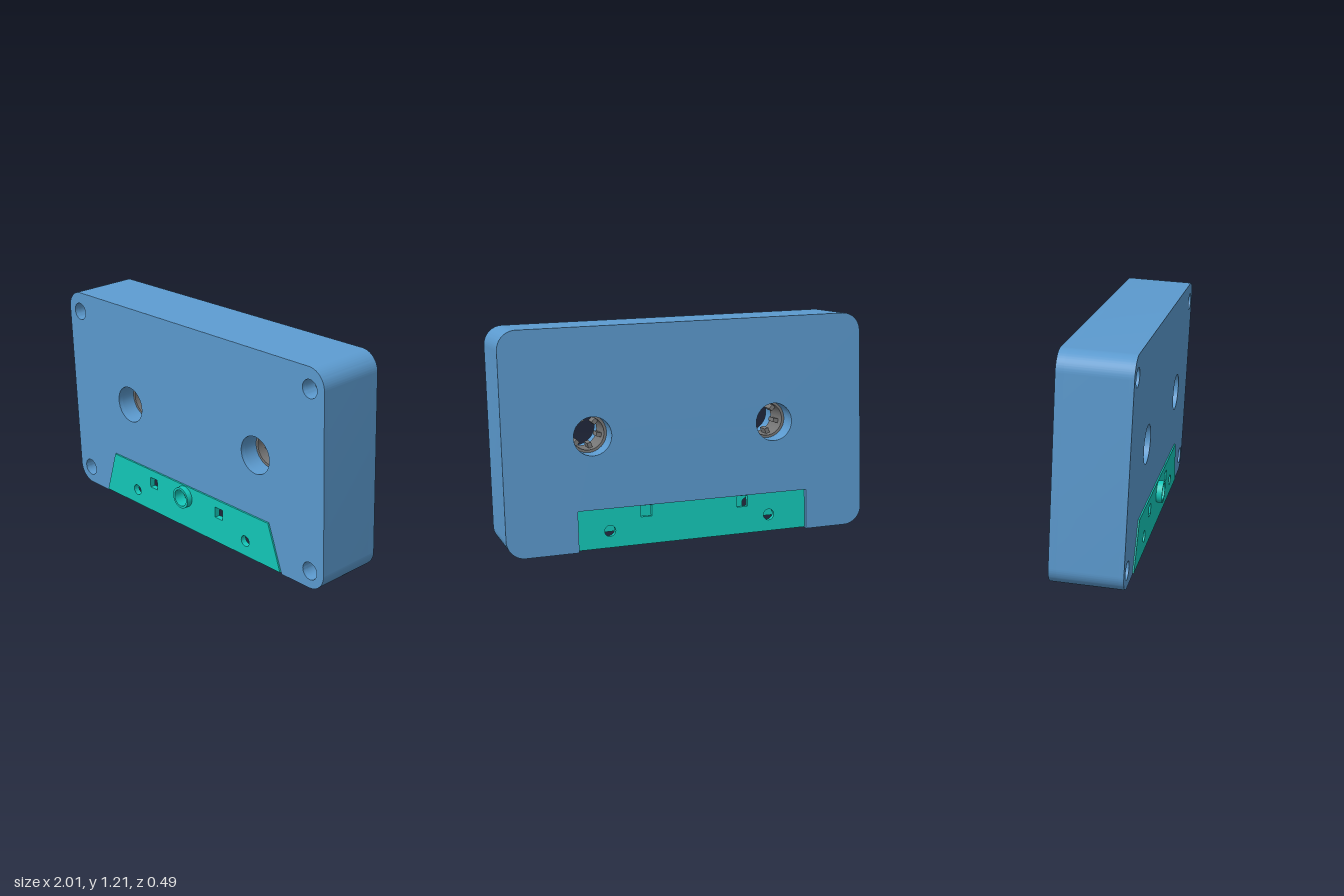
import * as THREE from 'three';
import { toCreasedNormals } from 'three/addons/utils/BufferGeometryUtils.js';

const mat = (color) => new THREE.MeshStandardMaterial({ color, side: THREE.DoubleSide });

// Main sizes
const W = 1.988, H = 1.172, D = 0.37, R = 0.1;
const REELS = [[-0.485, 0.02], [0.52, 0.02]];
const SCREWS = [[-0.9, 0.475], [0.9, 0.475], [-0.9, -0.49], [0.9, -0.49]];
const BOSS = [-0.035, -0.391];

const circle = (x, y, r) => new THREE.Path().absarc(x, y, r, 0, Math.PI * 2, true);
const polygon = (pts, Type = THREE.Shape) => new Type(pts.map(([x, y]) => new THREE.Vector2(x, y)));
const square = (x, y, s) => polygon([[x - s, y - s], [x - s, y + s], [x + s, y + s], [x + s, y - s]], THREE.Path);

// Extrude a shape between two depths
function slab(shape, z0, z1) {
  const g = new THREE.ExtrudeGeometry(shape, { depth: z1 - z0, bevelEnabled: false, curveSegments: 16 });
  g.translate(0, 0, z0);
  return toCreasedNormals(g, 0.6);
}

// Rounded outline with a notch in the bottom edge
function bodyShape(l0, l1, top, r1, r0) {
  const x = W / 2, y = H / 2, s = new THREE.Shape();
  s.moveTo(r0, -y);
  s.lineTo(x - R, -y);
  s.absarc(x - R, -y + R, R, -Math.PI / 2, 0, false);
  s.absarc(x - R, y - R, R, 0, Math.PI / 2, false);
  s.absarc(-x + R, y - R, R, Math.PI / 2, Math.PI, false);
  s.absarc(-x + R, -y + R, R, Math.PI, Math.PI * 1.5, false);
  s.lineTo(l0, -y);
  s.lineTo(l1, top);
  s.lineTo(r1, top);
  s.lineTo(r0, -y);
  REELS.forEach(([a, b]) => s.holes.push(circle(a, b, 0.102)));
  return s;
}

// Holes shared by the front and back plates
function plateHoles(shape) {
  [-0.3, 0.24].forEach((x) => shape.holes.push(square(x, -0.402, 0.03)));
  [-0.452, 0.441].forEach((x) => shape.holes.push(circle(x, -0.49, 0.03)));
  return shape;
}

// Cross-recessed screw head, facing +z
function makeScrew(name, material) {
  const g = new THREE.Group();
  g.name = name;
  const a = 0.01, b = 0.032;
  const head = new THREE.Shape().absarc(0, 0, 0.046, 0, Math.PI * 2, false);
  head.holes.push(polygon([[a, a], [a, b], [-a, b], [-a, a], [-b, a], [-b, -a],
    [-a, -a], [-a, -b], [a, -b], [a, -a], [b, -a], [b, a]], THREE.Path));
  const top = new THREE.Mesh(slab(head, -0.025, 0), material);
  top.name = 'screwHead';
  const shank = new THREE.Mesh(new THREE.CylinderGeometry(0.045, 0.045, 0.03, 24), material);
  shank.rotation.x = Math.PI / 2;
  shank.position.z = -0.04;
  shank.name = 'screwBase';
  g.add(top, shank);
  return g;
}

// Toothed reel hub
function makeReel(material) {
  const g = new THREE.Group();
  g.name = 'reelHub';
  const ring = new THREE.Shape().absarc(0, 0, 0.104, 0, Math.PI * 2, false);
  ring.holes.push(circle(0, 0, 0.088));
  const rim = new THREE.Mesh(slab(ring, -0.08, 0.08), material);
  rim.name = 'hubRing';
  g.add(rim);
  for (let i = 0; i < 6; i++) {
    const t = (i / 6) * Math.PI * 2 + 0.25;
    const tooth = new THREE.Mesh(new THREE.BoxGeometry(0.032, 0.022, 0.07), material);
    tooth.position.set(Math.cos(t) * 0.076, Math.sin(t) * 0.076, 0);
    tooth.rotation.z = t;
    tooth.name = 'hubTooth';
    g.add(tooth);
  }
  return g;
}

export function createModel() {
  const blue = mat(0x5c9bd0), teal = mat(0x14cabb), grey = mat(0x777777);
  const model = new THREE.Group();
  model.name = 'cassette';
  const tilted = new THREE.Group();
  tilted.name = 'tiltedCassette';
  model.add(tilted);
  const add = (name, geo, material) => {
    const m = new THREE.Mesh(geo, material);
    m.name = name;
    tilted.add(m);
  };

  // Case in three layers: back wall, hollow middle, front wall
  const back = bodyShape(-0.666, -0.666, -0.367, 0.614, 0.614);
  const middle = bodyShape(-0.666, -0.666, -0.324, 0.614, 0.614);
  const front = bodyShape(-0.736, -0.646, -0.324, 0.614, 0.702);
  [middle, front].forEach((s) => SCREWS.forEach(([x, y]) => s.holes.push(circle(x, y, 0.048))));
  add('caseBack', slab(back, -D / 2, -0.145), blue);
  add('caseMiddle', slab(middle, -0.145, 0.16), blue);
  add('caseFront', slab(front, 0.16, D / 2), blue);

  // Front trapezoid plate and recessed back plate
  const frontPlate = plateHoles(polygon([[-0.733, -0.576], [0.697, -0.576], [0.612, -0.326], [-0.644, -0.326]]));
  frontPlate.holes.push(circle(BOSS[0], BOSS[1], 0.05));
  add('frontPlate', slab(frontPlate, 0.16, 0.192), teal);
  const backPlate = plateHoles(polygon([[-0.664, -0.58], [0.612, -0.58], [0.612, -0.326], [-0.664, -0.326]]));
  add('backPlate', slab(backPlate, -0.168, -0.143), teal);

  // Inner end panels of the opening
  [-0.657, 0.605].forEach((x) => {
    const g = new THREE.BoxGeometry(0.016, 0.19, 0.303);
    g.translate(x, -0.42, 0.0085);
    add('endPanel', g, teal);
  });

  // Screw boss
  const boss = new THREE.Shape().absarc(BOSS[0], BOSS[1], 0.06, 0, Math.PI * 2, false);
  boss.holes.push(circle(BOSS[0], BOSS[1], 0.047));
  add('screwBoss', slab(boss, -0.143, 0.224), teal);

  // Screws and reels
  [...SCREWS, BOSS].forEach(([x, y], i) => {
    const s = makeScrew(i < 4 ? 'cornerScrew' : 'centreScrew', grey);
    s.position.set(x, y, i < 4 ? 0.1 : 0.16);
    tilted.add(s);
  });
  REELS.forEach(([x, y]) => {
    const r = makeReel(grey);
    r.position.set(x, y, 0);
    tilted.add(r);
  });

  // The whole case leans slightly
  tilted.rotation.set(0.05, -0.033, -0.011);
  tilted.position.y = 0.605;
  return model;
}
